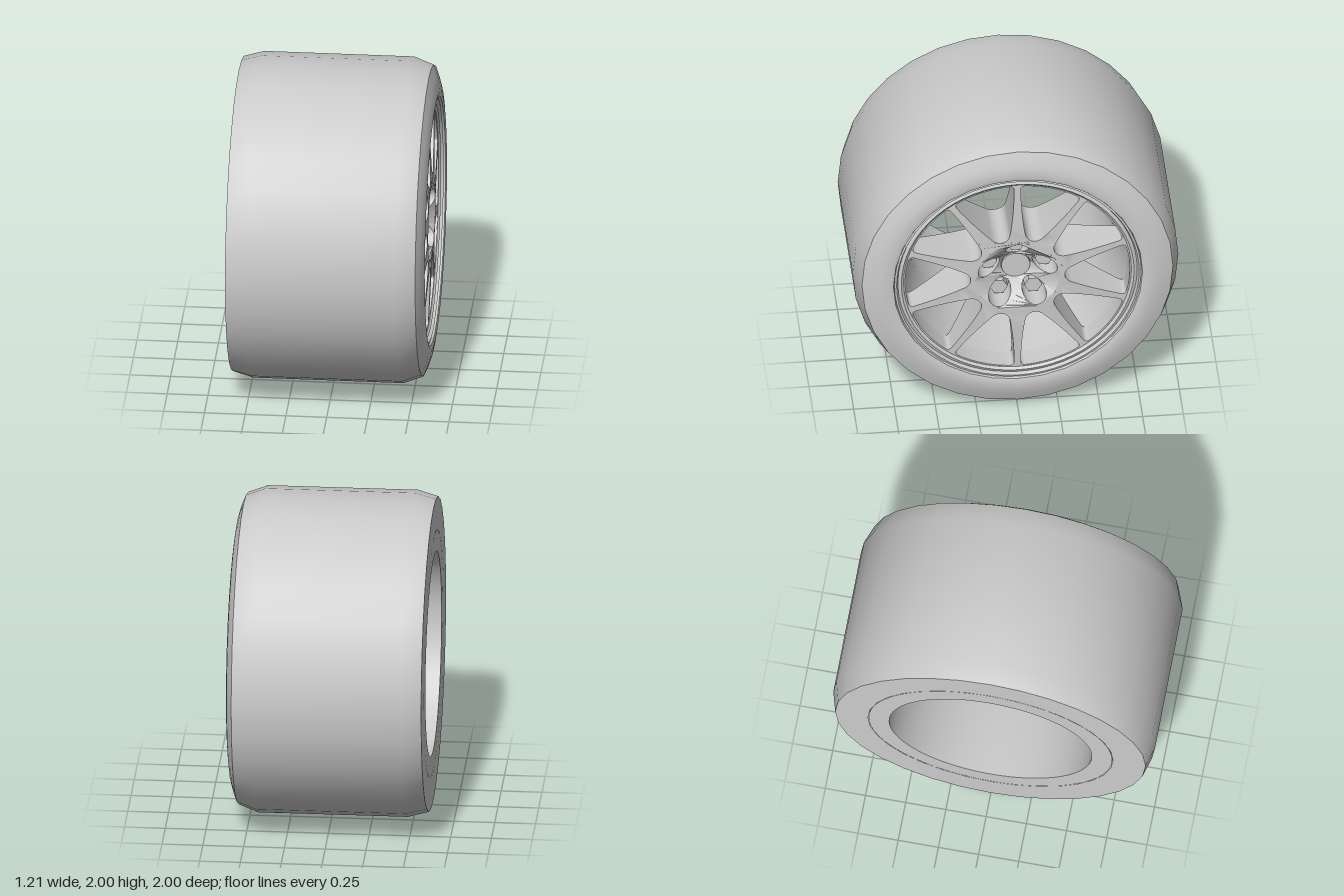
import * as THREE from 'three';
import { toCreasedNormals } from 'three/addons/utils/BufferGeometryUtils.js';

const SPOKES = 10, LUGS = 5, LUG_RADIUS = 0.18;
const material = new THREE.MeshStandardMaterial({ color: 0xcccccc, side: THREE.DoubleSide });

function addMesh(group, name, geometry, crease = 0.5) {
  const mesh = new THREE.Mesh(toCreasedNormals(geometry, crease), material);
  mesh.name = name;
  group.add(mesh);
  return mesh;
}

// Profile of [radius, x] pairs turned around the x axis
function turned(profile, segments) {
  const g = new THREE.LatheGeometry(profile.map(([r, x]) => new THREE.Vector2(r, x)), segments);
  return g.rotateZ(-Math.PI / 2);
}

// Cylinder along x between two positions
function axle(radius, x0, x1, sides) {
  return new THREE.CylinderGeometry(radius, radius, x1 - x0, sides)
    .rotateZ(-Math.PI / 2).translate((x0 + x1) / 2, 0, 0);
}

// Flat shape extruded along x, with back and front following the radius
function dished(shape, back, front) {
  const g = new THREE.ExtrudeGeometry(shape, { depth: 1, bevelEnabled: false, curveSegments: 12 });
  g.rotateY(Math.PI / 2);
  const p = g.attributes.position;
  for (let i = 0; i < p.count; i++) {
    const r = Math.hypot(p.getY(i), p.getZ(i));
    p.setX(i, THREE.MathUtils.lerp(back(r), front(r), p.getX(i)));
  }
  return g;
}

function circle(radius, cx = 0, cy = 0, Type = THREE.Path) {
  const path = new Type();
  path.absarc(cx, cy, radius, 0, Math.PI * 2, false);
  return path;
}

// Window between two neighbouring spokes, centred on the given angle
function spokeWindow(angle) {
  const half = Math.PI / SPOKES;
  // Point beside a spoke: distance along it, half width, which neighbour
  const at = (r, w, side) => {
    const a = angle + side * half;
    return [r * Math.cos(a) + side * w * Math.sin(a), r * Math.sin(a) - side * w * Math.cos(a)];
  };
  const rim = 0.69, corner = half - 0.07;
  const path = new THREE.Path();
  path.moveTo(...at(0.66, 0.02, -1));
  path.quadraticCurveTo(...at(0.47, 0.024, -1), ...at(0.34, 0.045, -1));
  path.bezierCurveTo(...at(0.27, 0.05, -1), ...at(0.27, 0.05, 1), ...at(0.34, 0.045, 1));
  path.quadraticCurveTo(...at(0.47, 0.024, 1), ...at(0.66, 0.02, 1));
  path.quadraticCurveTo(...at(rim, 0.02, 1),
    rim * Math.cos(angle + corner), rim * Math.sin(angle + corner));
  path.absarc(0, 0, rim, angle + corner, angle - corner, true);
  path.quadraticCurveTo(...at(rim, 0.02, -1), ...at(0.66, 0.02, -1));
  return path;
}

export function createModel() {
  const wheel = new THREE.Group();
  wheel.name = 'wheel';

  // Tyre: wide tread, rounded outer shoulder, flat inner side
  addMesh(wheel, 'tyre', turned([
    [0.762, -0.605], [0.965, -0.605], [1, -0.48], [1, 0.44], [0.955, 0.56],
    [0.9, 0.582], [0.85, 0.597], [0.79, 0.605], [0.765, 0.598], [0.755, 0.56],
  ], 32), 0.6);

  // Rim: stepped lip, sloping shoulder and long straight barrel
  addMesh(wheel, 'rim', turned([
    [0.765, 0.5], [0.757, 0.585], [0.745, 0.588], [0.735, 0.565], [0.715, 0.575],
    [0.7, 0.562], [0.698, 0.46], [0.63, 0.12], [0.63, -0.605], [0.757, -0.605], [0.757, -0.56],
  ], 64));

  // Spokes: one plate with a window between each pair, deeper at the hub
  const plate = circle(0.705, 0, 0, THREE.Shape);
  plate.holes.push(circle(0.26));
  for (let i = 0; i < SPOKES; i++) {
    plate.holes.push(spokeWindow(Math.PI / 2 + ((i + 0.5) * 2 * Math.PI) / SPOKES));
  }
  const spokeBack = (r) => THREE.MathUtils.mapLinear(r, 0.26, 0.705, 0.22, 0.43);
  const spokeFront = (r) => THREE.MathUtils.mapLinear(r, 0.26, 0.705, 0.58, 0.56);
  addMesh(wheel, 'spokes', dished(plate, spokeBack, spokeFront));

  // Hub recess: funnel pierced by a round pocket for each lug nut
  const funnel = circle(0.261, 0, 0, THREE.Shape);
  funnel.holes.push(circle(0.09));
  const lugs = [];
  for (let i = 0; i < LUGS; i++) {
    const a = Math.PI / 2 + (i * 2 * Math.PI) / LUGS;
    lugs.push([LUG_RADIUS * Math.cos(a), LUG_RADIUS * Math.sin(a)]);
    funnel.holes.push(circle(0.072, ...lugs[i]));
  }
  const funnelFront = (r) => Math.min(0.58, THREE.MathUtils.mapLinear(r, 0.09, 0.245, 0.44, 0.58));
  addMesh(wheel, 'hubRecess', dished(funnel, () => 0.36, funnelFront));
  addMesh(wheel, 'hubPad', axle(0.262, 0.2, 0.385, 48));
  addMesh(wheel, 'centreCap', axle(0.088, 0.36, 0.45, 32));

  // Lug nuts: round collar under a hexagonal head
  for (const [u, v] of lugs) {
    const nut = new THREE.Group();
    nut.name = 'lugNut';
    addMesh(nut, 'collar', axle(0.068, 0.38, 0.41, 24));
    addMesh(nut, 'hexHead', axle(0.055, 0.4, 0.47, 6));
    nut.position.set(0, v, -u);
    wheel.add(nut);
  }

  wheel.position.y = 1;
  const model = new THREE.Group();
  model.name = 'wheelAndTyre';
  model.add(wheel);
  return model;
}
